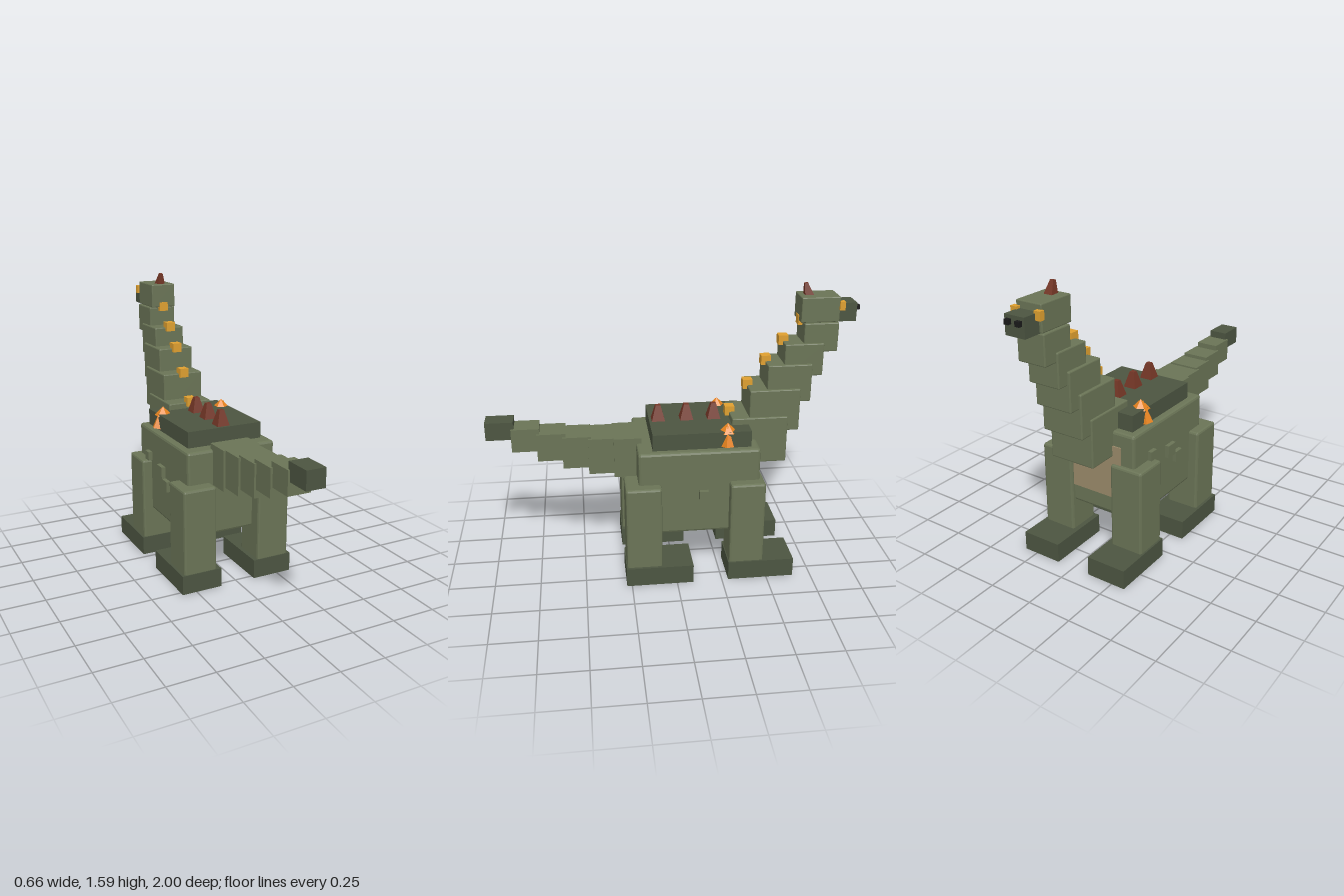
import * as THREE from 'three';
import { RoundedBoxGeometry } from 'three/addons/geometries/RoundedBoxGeometry.js';

const paint = (color) => new THREE.MeshStandardMaterial({ color, flatShading: true });

export function createModel() {
  const model = new THREE.Group();
  const green = paint(0x6a7456), dark = paint(0x4c5541), tan = paint(0x9a8a6a);
  const rust = paint(0x743626), yellow = paint(0xdfa030), orange = paint(0xe5821e), black = paint(0x1a1a1a);

  const add = (name, geometry, material, x = 0, y = 0, z = 0) => {
    const mesh = new THREE.Mesh(geometry, material);
    mesh.name = name;
    mesh.position.set(x, y, z);
    model.add(mesh);
    return mesh;
  };
  // Box given by its limits on each axis, with an optional bevel
  const box = (name, material, [x0, x1], [y0, y1], [z0, z1], bevel = 0) => {
    const size = [x1 - x0, y1 - y0, z1 - z0];
    const geometry = bevel ? new RoundedBoxGeometry(...size, 1, bevel) : new THREE.BoxGeometry(...size);
    return add(name, geometry, material, (x0 + x1) / 2, (y0 + y1) / 2, (z0 + z1) / 2);
  };
  // Four-sided blunt spike, widths measured across the flats
  const spike = (name, base, top, height, y, z) => {
    const g = new THREE.CylinderGeometry(top / Math.SQRT2, base / Math.SQRT2, height, 4);
    g.rotateY(Math.PI / 4);
    return add(name, g, rust, 0, y, z);
  };

  // Trunk
  box('body', green, [-0.26, 0.26], [0.28, 0.76], [-0.455, 0.2], 0.014);
  box('belly', tan, [-0.2, 0.2], [0.272, 0.3], [-0.4, 0.14]);
  box('chest', tan, [-0.18, 0.18], [0.38, 0.68], [-0.462, -0.43]);
  box('backPlate', dark, [-0.22, 0.22], [0.75, 0.85], [-0.41, 0.12]);
  for (const z of [0.07, -0.085, -0.235]) spike('backSpike', 0.075, 0.027, 0.09, 0.89, z);

  // Neck blocks: half width, bottom, top, back z, front z
  const neck = [
    [0.13, 0.62, 0.885, -0.625, -0.32],
    [0.12, 0.8, 1.037, -0.69, -0.415],
    [0.105, 0.96, 1.17, -0.75, -0.51],
    [0.09, 1.1, 1.28, -0.81, -0.6],
    [0.08, 1.23, 1.388, -0.885, -0.7],
  ];
  for (const [w, y0, y1, z0, z1] of neck) {
    box('neckSegment', green, [-w, w], [y0, y1], [z0, z1], 0.006);
    add('neckStud', new THREE.BoxGeometry(0.052, 0.052, 0.052), yellow, 0, y1 + 0.005, z1 - 0.003);
  }

  // Head
  box('head', green, [-0.073, 0.073], [1.39, 1.525], [-0.885, -0.68], 0.005);
  box('snout', dark, [-0.057, 0.057], [1.388, 1.487], [-0.98, -0.84]);
  spike('headHorn', 0.05, 0.018, 0.075, 1.55, -0.722).rotation.x = 0.26;

  // Tail blocks: half width, bottom, top, start z, end z
  const tail = [
    [0.113, 0.565, 0.79, 0.17, 0.32],
    [0.1, 0.585, 0.79, 0.3, 0.457],
    [0.087, 0.62, 0.8, 0.44, 0.595],
    [0.076, 0.665, 0.82, 0.575, 0.73],
    [0.064, 0.72, 0.85, 0.715, 0.865],
    [0.053, 0.79, 0.89, 0.85, 1.0],
  ];
  tail.forEach(([w, y0, y1, z0, z1], i) => {
    const tip = i === tail.length - 1;
    box(tip ? 'tailTip' : 'tailSegment', tip ? dark : green, [-w, w], [y0, y1], [z0, z1]);
  });

  // Mirrored parts
  for (const s of [-1, 1]) {
    const span = (a, b) => (s > 0 ? [a, b] : [-b, -a]);
    box('backLeg', green, span(0.127, 0.317), [0.09, 0.58], [-0.48, -0.29], 0.012);
    box('frontLeg', green, span(0.127, 0.317), [0.09, 0.58], [0.08, 0.273], 0.012);
    box('backFoot', dark, span(0.1, 0.327), [0, 0.107], [-0.65, -0.285]);
    box('frontFoot', dark, span(0.102, 0.332), [0, 0.107], [-0.09, 0.278]);
    box('eye', yellow, span(0.05, 0.085), [1.455, 1.5], [-0.909, -0.88]);
    box('nostril', black, span(0.018, 0.044), [1.445, 1.47], [-1, -0.975]);
    // Shoulder crystals: a cap with a steep point below it
    add('crystalCap', new THREE.ConeGeometry(0.05, 0.05, 6), orange, s * 0.185, 0.865, -0.285);
    const point = add('crystalPoint', new THREE.ConeGeometry(0.036, 0.12, 5), orange, s * 0.208, 0.826, -0.282);
    point.rotation.z = s * 0.18;
  }

  // Warts on the flanks: side, y, z, size
  const warts = [
    [1, 0.51, -0.15, 0.05],
    [-1, 0.605, -0.305, 0.05],
    [-1, 0.56, -0.13, 0.07],
    [-1, 0.5, -0.06, 0.06],
  ];
  for (const [s, y, z, d] of warts)
    add('wart', new THREE.BoxGeometry(0.04, d, d), green, s * 0.263, y, z);

  return model;
}
